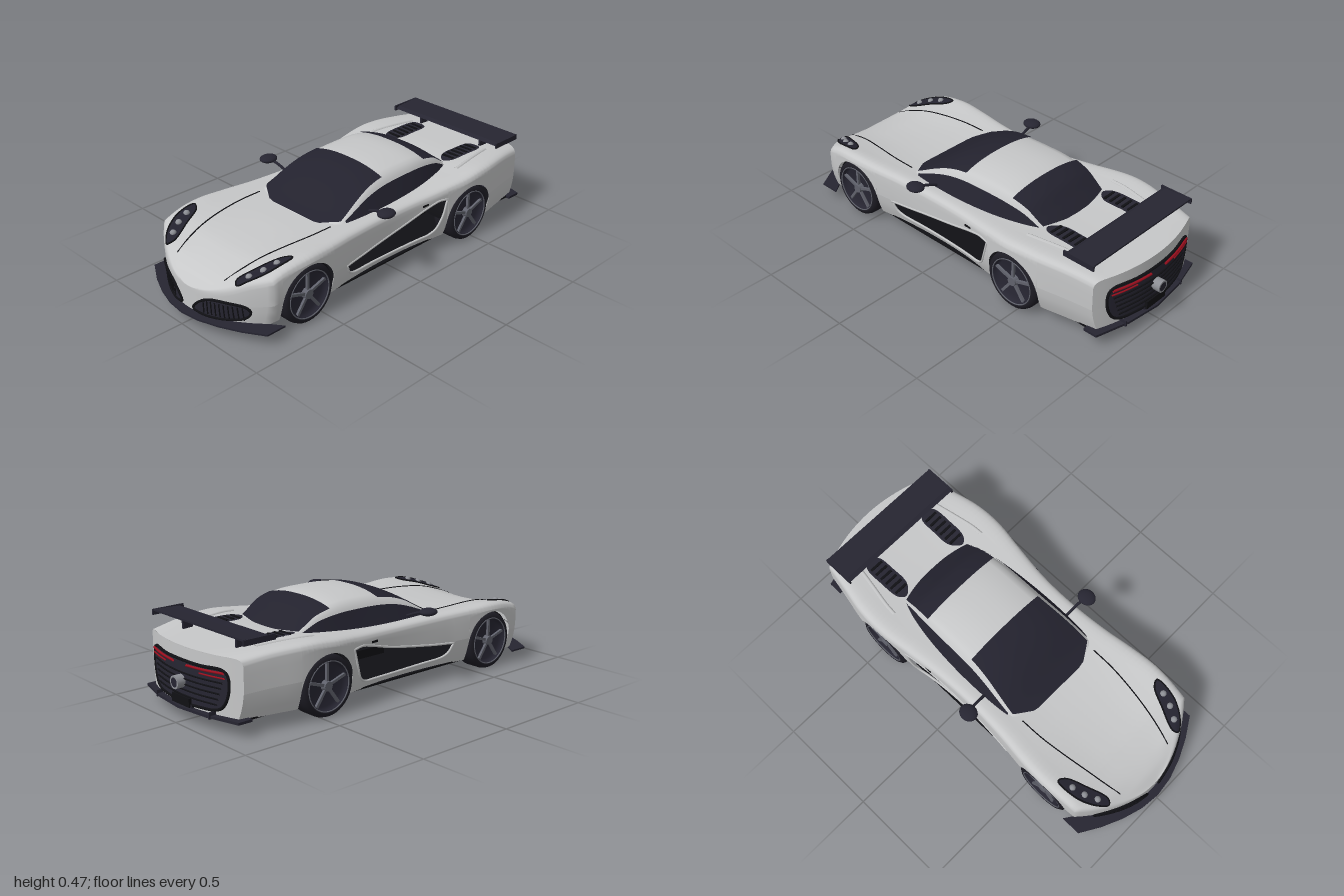
import * as THREE from 'three';

const mat = (name, color) => Object.assign(new THREE.MeshStandardMaterial({ color, side: THREE.DoubleSide }), { name });
const paint = mat('silverPaint', 0xc6c7c8), glass = mat('darkGlass', 0x23222e), trim = mat('darkTrim', 0x262531),
  black = mat('blackUnderside', 0x101014), rubber = mat('tyreRubber', 0x1d1c24), rimGrey = mat('rimGrey', 0x60626c),
  red = mat('tailLightRed', 0x9c0f1e), chrome = mat('chrome', 0x8c8e94);

// Smooth interpolation through [z, value] pairs, z ascending
const tab = (...p) => (z) => {
  const n = p.length - 1, c = THREE.MathUtils.clamp(z, p[0][0], p[n][0]);
  let i = 0;
  while (i < n - 1 && c > p[i + 1][0]) i++;
  const chord = (a, b) => (b[1] - a[1]) / (b[0] - a[0]);
  const slope = (k) => chord(p[Math.max(k - 1, 0)], p[Math.min(k + 1, n)]);
  const h = p[i + 1][0] - p[i][0], t = (c - p[i][0]) / h, e = t * t * (3 - 2 * t);
  return p[i][1] * (1 - e) + p[i + 1][1] * e + h * t * (1 - t) * (slope(i) * (1 - t) - slope(i + 1) * t);
};

// Surface from a grid of points; columns listed in skip stay open
function grid(rows, cols, fn, skip = []) {
  const pos = [], idx = [], n = cols + 1;
  for (let i = 0; i <= rows; i++) for (let j = 0; j <= cols; j++) {
    pos.push(...fn(i, j));
    const a = i * n + j;
    if (i < rows && j < cols && !skip.includes(j)) idx.push(a, a + n, a + 1, a + 1, a + n, a + n + 1);
  }
  const g = new THREE.BufferGeometry().setIndex(idx);
  g.setAttribute('position', new THREE.Float32BufferAttribute(pos, 3));
  g.computeVertexNormals();
  return g;
}

// Body rules: widths, heights, wheel arches and side openings along z
const FRONT = 0.593, REAR = -0.468, WHEEL = 0.143, ARCH = 0.15, TAIL = -0.885, NOSE = 0.957;
const frontZ = (x) => NOSE - 1.15 * x * x;
const plan = tab([-0.9, 0.34], [-0.75, 0.37], [-0.6, 0.4], [-0.45, 0.405], [-0.3, 0.385], [-0.1, 0.36], [0.1, 0.355],
  [0.3, 0.367], [0.45, 0.385], [0.6, 0.395], [0.78, 0.382]);
const halfWidth = (z) => Math.min(plan(z), Math.sqrt(Math.max(0, NOSE - z) / 1.15));
const fender = tab([-0.9, 0.333], [-0.75, 0.352], [-0.55, 0.36], [-0.4, 0.347], [-0.2, 0.33], [0, 0.323], [0.25, 0.325],
  [0.45, 0.33], [0.6, 0.333], [0.73, 0.318], [0.85, 0.272], [0.9, 0.23], [NOSE, 0.18]);
const spine = tab([-0.9, 0.338], [-0.6, 0.346], [-0.4, 0.335], [0, 0.31], [0.33, 0.303], [0.5, 0.3], [0.7, 0.285],
  [0.8, 0.262], [0.9, 0.22], [NOSE, 0.172]);
const openTop = tab([-0.31, 0.275], [-0.25, 0.28], [-0.05, 0.23], [0.2, 0.19], [0.35, 0.175]);
const openLow = tab([-0.31, 0.275], [-0.27, 0.15], [-0.22, 0.103], [0.25, 0.105], [0.32, 0.125], [0.35, 0.175]);
const tuck = (y) => 1 - 0.08 * Math.max(0, (0.22 - y) / 0.15) ** 2;
const bow = (x, z) => 0.07 * THREE.MathUtils.smoothstep(-z, 0.74, -TAIL) * (1 - (x / 0.34) ** 2);
function sill(z) {
  const c = z > 0 ? FRONT : REAR;
  return Math.abs(z - c) < ARCH ? WHEEL + Math.sqrt(ARCH * ARCH - (z - c) ** 2) : 0.067;
}
// Half cross-section from sill to centre line
function section(z) {
  const w = halfWidth(z), ys = fender(z), yc = spine(z), top = ys - 0.03, yb = sill(z), pts = [];
  let lo = (yb + top) / 2, hi = lo;
  if (z >= -0.31 && z <= 0.35) { lo = openLow(z); hi = Math.max(lo, openTop(z)); }
  for (const [a, b] of [[yb, lo], [hi, top]]) for (let k = 0; k <= 3; k++) {
    const y = a + (b - a) * k / 3;
    pts.push([w * tuck(y), y]);
  }
  const mix = (t) => ys + (yc - ys) * t;
  const knots = [[1, top], [0.975, ys - 0.01], [0.9, ys], [0.7, mix(0.35)], [0.35, mix(0.85)], [0, yc]];
  const curve = new THREE.CatmullRomCurve3(knots.map(([x, y]) => new THREE.Vector3(x * w, y, 0)));
  for (let k = 1; k <= 15; k++) { const p = curve.getPoint(k / 15); pts.push([p.x, p.y]); }
  return pts;
}
function topY(x, z) {
  const p = section(z).slice(7), i = Math.max(1, p.findIndex((q) => q[0] <= x));
  return p[i][1] + (p[i - 1][1] - p[i][1]) * Math.min(1, (x - p[i][0]) / (p[i - 1][0] - p[i][0]));
}
function stations() {
  const s = [0.35, -0.31];
  for (let z = TAIL; z < 0.8; z += 0.025) s.push(z);
  for (let x = 0; x < 0.38; x += 0.02) s.push(frontZ(x));
  for (const c of [FRONT, REAR]) {
    for (let k = 1; k < 24; k++) s.push(c + ARCH * Math.cos(Math.PI * k / 24));
    for (const e of [-1, 1]) s.push(c + e * (ARCH - 0.0003), c + e * (ARCH + 0.0003));
  }
  return s.sort((a, b) => b - a);
}

// Cabin dome: u runs across (-1..1), z along
const roofY = tab([-0.53, 0.325], [-0.46, 0.38], [-0.39, 0.43], [-0.28, 0.461], [-0.15, 0.468], [-0.02, 0.463], [0.08, 0.444],
  [0.17, 0.405], [0.28, 0.335], [0.34, 0.302]);
const roofEdge = tab([-0.53, 0.2], [-0.3, 0.22], [0, 0.225], [0.28, 0.257], [0.34, 0.25]);
const beltEdge = tab([-0.53, 0.21], [-0.45, 0.24], [-0.3, 0.27], [-0.1, 0.288], [0.1, 0.29], [0.28, 0.28], [0.34, 0.26]);
const crown = tab([-0.53, 0.01], [-0.4, 0.025], [-0.1, 0.032], [0.15, 0.028], [0.28, 0.012], [0.34, 0]);
function dome(u, z, off) {
  const a = Math.abs(u), s = Math.sign(u), e = roofEdge(z), ye = roofY(z) - crown(z);
  if (a <= 0.7) return [s * e * a / 0.7 * (1 + off), roofY(z) - crown(z) * (a / 0.7) ** 2.4 + off, z];
  const t = (a - 0.7) / 0.3;
  return [s * (e + (beltEdge(z) - e) * t + off), ye + (0.3 - ye) * t + off * (1 - t), z];
}
const domePatch = (u0, u1, z0, z1, off) => grid(36, 24, (i, j) => {
  const u = u1 + (u0 - u1) * j / 24;
  return dome(u, z0(u) + (z1(u) - z0(u)) * i / 36, off);
});

// Rounded outlines, filled or as an edge tube, mapped onto a surface
const ring = (pts, n) => new THREE.CatmullRomCurve3(pts.map(([a, b]) => new THREE.Vector3(a, b, 0)), true).getPoints(n);
function disc(pts, map) {
  const o = ring(pts, 48), c = o.slice(1).reduce((s, p) => s.add(p), new THREE.Vector3()).divideScalar(48);
  return grid(6, 48, (i, j) => { const p = c.clone().lerp(o[j], i / 6); return map(p.x, p.y); });
}
const tube = (pts, r, closed = false) => new THREE.TubeGeometry(
  new THREE.CatmullRomCurve3(pts.map((p) => new THREE.Vector3(...p)), closed), pts.length * 4, r, 6, closed);
const frame = (pts, map, r) => tube(ring(pts, 40).slice(1).map((p) => map(p.x, p.y)), r, true);
const extrude = (pts, depth) => new THREE.ExtrudeGeometry(
  new THREE.Shape(pts.map((p) => new THREE.Vector2(...p))), { depth, bevelEnabled: false });
// Flat plate from half an outline in x, z
const plate = (half, y, t) => extrude([...half, ...half.slice().reverse().map(([x, z]) => [-x, z])], t)
  .rotateX(Math.PI / 2).translate(0, y, 0);

export function createModel() {
  const car = new THREE.Group();
  car.name = 'sportsCar';
  const add = (name, geo, m, parent = car, x = 0, y = 0, z = 0) => {
    const mesh = Object.assign(new THREE.Mesh(geo, m), { name });
    mesh.position.set(x, y, z);
    parent.add(mesh);
  };
  const box = (name, w, h, d, m, x, y, z) => add(name, new THREE.BoxGeometry(w, h, d), m, car, x, y, z);

  // Body shell with open side vents, and tail panel
  const zs = stations(), secs = zs.map(section), n = secs[0].length, tail = section(TAIL);
  add('bodyShell', grid(zs.length - 1, 2 * n - 2, (i, j) => {
    const [x, y] = secs[i][Math.min(j, 2 * n - 2 - j)];
    return [j < n ? x : -x, y, zs[i] - bow(x, zs[i])];
  }, [3, 2 * n - 6]), paint);
  const back = (off) => (x, y) => [x, y, TAIL - bow(x, TAIL) - off];
  add('tailPanel', grid(n - 1, 16, (i, j) => back(0)(tail[i][0] * (j / 8 - 1), tail[i][1])), paint);
  // Cabin and windows
  add('cabin', domePatch(-1, 1, () => 0.34, () => -0.53, 0), paint);
  add('windshield', domePatch(-0.69, 0.69, (u) => 0.338 - 0.25 * Math.max(0, Math.abs(u) - 0.45), () => -0.02, 0.004), glass);
  add('rearWindow', domePatch(-0.7, 0.7, () => -0.31, (u) => -0.515 + 0.07 * u * u, 0.004), glass);
  // Underside plates
  add('floor', plate([[0, 0.92], [0.2, 0.88], [0.3, 0.78], [0.3, 0.42], [0.345, 0.42], [0.345, -0.3], [0.3, -0.3],
    [0.3, -0.64], [0.33, -0.64], [0.33, -0.88]], 0.072, 0.008), black);
  add('frontSplitter', plate([[0, 0.998], [0.1, 0.986], [0.2, 0.955], [0.3, 0.91], [0.4, 0.85], [0.4, 0.75], [0.3, 0.82], [0, 0.88]], 0.064, 0.008), trim);
  add('rearDiffuser', plate([[0, -0.985], [0.18, -0.965], [0.35, -0.92], [0.35, -0.85], [0, -0.85]], 0.075, 0.012), trim);
  for (const x of [-0.2, -0.07, 0.07, 0.2]) box('diffuserFin', 0.008, 0.03, 0.09, trim, x, 0.075, -0.92);
  // Rear panel, slats, plate holder and exhaust
  const panel = [[-0.28, 0.2], [-0.265, 0.27], [-0.12, 0.277], [0.12, 0.277], [0.265, 0.27], [0.28, 0.2], [0.24, 0.11], [0.1, 0.09], [-0.1, 0.09], [-0.24, 0.11]];
  add('rearGrille', disc(panel, back(0.006)), trim);
  add('rearGrilleFrame', frame(panel, back(0.006), 0.007), black);
  for (let k = 0; k < 5; k++)
    add('rearSlat', tube([-1, -0.5, 0, 0.5, 1].map((t) => back(0.009)(t * (0.22 + 0.008 * k), 0.122 + 0.025 * k)), 0.004), black);
  box('plateHolder', 0.13, 0.04, 0.014, black, 0, 0.097, -0.965);
  add('exhaust', new THREE.CylinderGeometry(0.03, 0.03, 0.05, 24).rotateX(Math.PI / 2), chrome, car, 0, 0.182, -0.975);
  add('exhaustBore', new THREE.CircleGeometry(0.022, 24).rotateY(Math.PI), trim, car, 0, 0.182, -1.0005);
  // Rear wing and inner beam
  const foil = [[-0.72, 0.402], [-0.74, 0.413], [-0.8, 0.415], [-0.878, 0.419], [-0.878, 0.411], [-0.8, 0.4], [-0.74, 0.396]];
  add('rearWing', extrude(foil, 0.68).translate(0, 0, -0.34).rotateY(-Math.PI / 2), trim);
  box('interiorCrossbeam', 0.6, 0.04, 0.2, black, 0, 0.21, -0.15);

  for (const s of [1, -1]) {
    // Side glass, door handle and vent frame
    add('sideWindow', domePatch(0.77 * s, 0.96 * s, () => 0.26, () => -0.47, 0.004), glass);
    box('doorHandle', 0.006, 0.01, 0.05, black, s * 0.367, 0.283, -0.18);
    const edge = [];
    for (let k = 0; k < 32; k++) {
      const z = 0.02 + 0.33 * Math.cos(Math.PI * k / 16), y = (k <= 16 ? openTop : openLow)(z);
      edge.push([s * (halfWidth(z) * tuck(y) - 0.002), y, z]);
    }
    add('ventFrame', tube(edge, 0.006, true), paint);
    // Headlight, hood seam and deck louvres draped on the shell
    const drape = (off) => (x, z) => [s * x, topY(x, z) + off, z];
    const lamp = [[0.338, 0.645], [0.305, 0.66], [0.262, 0.75], [0.225, 0.855], [0.24, 0.878], [0.285, 0.845], [0.332, 0.76]];
    add('headlight', disc(lamp, drape(0.004)), glass);
    add('headlightFrame', frame(lamp, drape(0.003), 0.004), black);
    for (const [x, z] of [[0.312, 0.71], [0.294, 0.77], [0.264, 0.825]])
      add('headlightLens', new THREE.SphereGeometry(0.016, 14, 10), chrome, car, ...drape(0)(x, z));
    add('hoodSeam', tube([[0.243, 0.33], [0.24, 0.45], [0.225, 0.58], [0.205, 0.7], [0.185, 0.8], [0.165, 0.88]].map((p) => drape(0.001)(...p)), 0.003), black);
    add('deckLouvre', disc([[0.15, -0.74], [0.22, -0.74], [0.232, -0.62], [0.222, -0.52], [0.19, -0.495], [0.143, -0.54], [0.137, -0.64]], drape(0.005)), trim);
    for (let k = 0; k < 6; k++)
      box('louvreSlat', 0.07, 0.008, 0.012, black, s * 0.184, topY(0.184, -0.54 - 0.034 * k) + 0.006, -0.54 - 0.034 * k);
    add('deckRidge', tube([[0.295, -0.47], [0.29, -0.53], [0.272, -0.63], [0.25, -0.75]].map((p) => drape(-0.003)(...p)), 0.01), paint);
    // Front grille with bars
    const nose = (off) => (x, y) => [s * x, y, frontZ(x / tuck(y)) + off];
    const mouth = [[0.04, 0.085], [0.07, 0.125], [0.13, 0.158], [0.22, 0.163], [0.285, 0.153], [0.3, 0.13], [0.275, 0.095], [0.2, 0.075], [0.08, 0.073]];
    add('frontGrille', disc(mouth, nose(0.005)), trim);
    add('frontGrilleFrame', frame(mouth, nose(0.006), 0.006), black);
    for (let k = 0; k < 10; k++)
      add('grilleBar', tube([0.083, 0.115, 0.15].map((y) => nose(0.007)(0.1 + 0.019 * k, y)), 0.003), black);
    // Tail lights
    add('tailLight', tube([0.05, 0.12, 0.19, 0.262].map((x) => back(0.014)(s * x, 0.262 + 0.02 * x)), 0.006), red);
    add('tailLightLower', tube([0.13, 0.2, 0.265].map((x) => back(0.013)(s * x, 0.245)), 0.004), red);
    // Mirror, wing post and end plate
    add('mirrorArm', tube([[s * 0.28, 0.335, 0.12], [s * 0.34, 0.358, 0.125], [s * 0.39, 0.37, 0.13]], 0.007), trim);
    add('mirror', new THREE.SphereGeometry(1, 20, 14).scale(0.04, 0.018, 0.046), trim, car, s * 0.4, 0.372, 0.135);
    box('wingPost', 0.012, 0.065, 0.05, trim, s * 0.2, 0.373, -0.79);
    box('wingEndPlate', 0.008, 0.026, 0.165, trim, s * 0.341, 0.405, -0.798);
    // Wheels: tyre, rim, spokes, hub and arch liner
    for (const [zw, xo] of [[FRONT, 0.39], [REAR, 0.4]]) {
      const wheel = new THREE.Group();
      wheel.name = zw > 0 ? 'frontWheel' : 'rearWheel';
      wheel.position.set(s * (xo - 0.06), WHEEL, zw);
      wheel.rotation.y = s > 0 ? 0 : Math.PI;
      car.add(wheel);
      const lathe = (p) => new THREE.LatheGeometry(p.map((q) => new THREE.Vector2(...q)), 40).rotateZ(-Math.PI / 2);
      add('tyre', lathe([[0.09, -0.06], [0.125, -0.06], [0.138, -0.05], [0.143, -0.035], [0.143, 0.035], [0.138, 0.05], [0.122, 0.06], [0.115, 0.055]]), rubber, wheel);
      add('rimDish', lathe([[0, 0.025], [0.1, 0.025], [0.108, 0.05], [0.117, 0.057]]), trim, wheel);
      add('innerHub', lathe([[0, -0.055], [0.1, -0.055]]), black, wheel);
      add('rimRing', new THREE.TorusGeometry(0.114, 0.003, 6, 40).rotateY(Math.PI / 2), rimGrey, wheel, 0.056);
      for (let k = 0; k < 5; k++)
        add('spoke', new THREE.BoxGeometry(0.012, 0.1, 0.013).translate(0, 0.06, 0).rotateX(k * Math.PI * 0.4), rimGrey, wheel, 0.042);
      add('hub', new THREE.CylinderGeometry(0.022, 0.026, 0.025, 16).rotateZ(-Math.PI / 2), rimGrey, wheel, 0.042);
      add('archLiner', grid(1, 24, (i, j) => [s * (0.25 + 0.115 * i), WHEEL + 0.148 * Math.sin(Math.PI * j / 24),
        zw + 0.148 * Math.cos(Math.PI * j / 24)]), black);
    }
  }
  return car;
}
